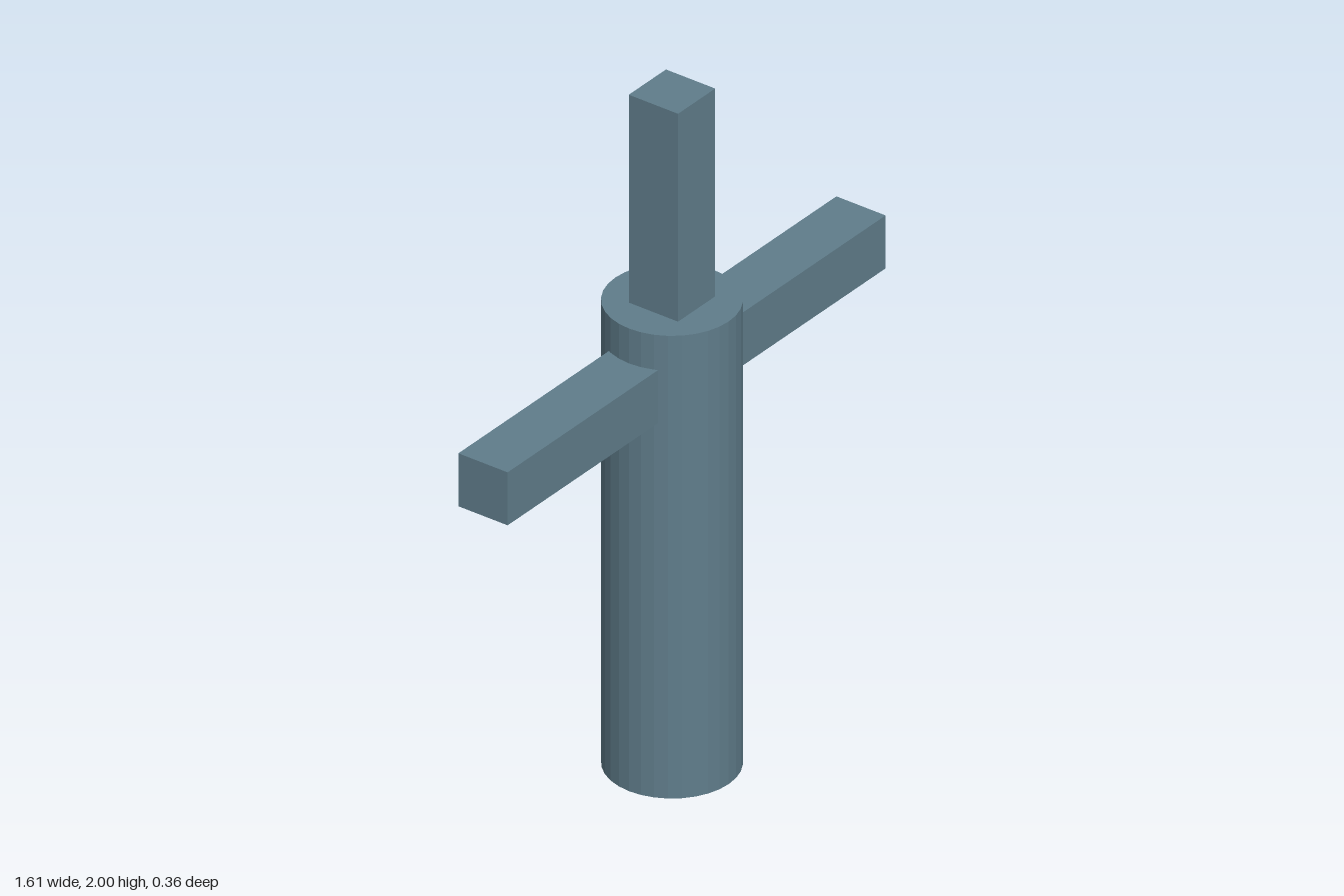
import * as THREE from 'three';

export function createModel() {
  const group = new THREE.Group();
  const blueGrey = new THREE.MeshStandardMaterial({ color: 0x607d8b, flatShading: true });
  blueGrey.name = 'blueGrey';

  const add = (name, geometry, x, y) => {
    const mesh = new THREE.Mesh(geometry, blueGrey);
    mesh.name = name;
    mesh.position.set(x, y, 0);
    group.add(mesh);
  };

  const radius = 0.182, height = 1.38, bar = 0.158;

  // Round column
  add('column', new THREE.CylinderGeometry(radius, radius, height, 32), 0, height / 2);

  // Square post standing on the column
  const postBase = height - 0.1;
  add('topPost', new THREE.BoxGeometry(bar, 2 - postBase, bar), 0, (2 + postBase) / 2);

  // Side arms, sunk into the column
  const inner = 0.1, outer = 0.803;
  for (const [name, side] of [['leftArm', 1], ['rightArm', -1]]) {
    add(name, new THREE.BoxGeometry(outer - inner, bar, bar), side * (inner + outer) / 2, 1.197);
  }

  return group;
}
